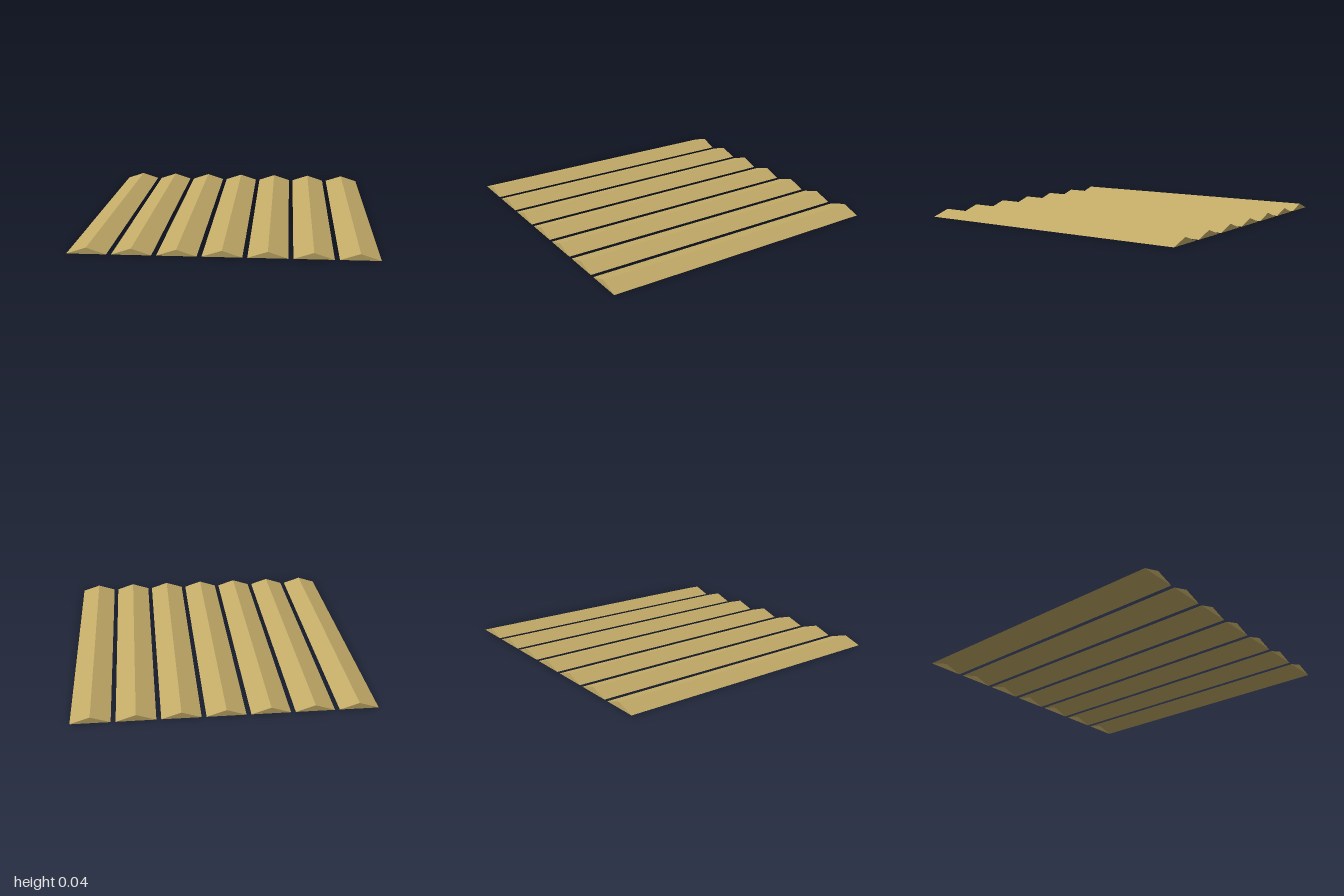
import * as THREE from 'three';

const COUNT = 7, PITCH = 2 / COUNT, HALF_WIDTH = 0.1275, HEIGHT = 0.042, HALF_LENGTH = 1;

// Ridged slat: two slopes and two triangular ends, open underneath
function slatGeometry() {
  const section = z => [
    new THREE.Vector3(-HALF_WIDTH, 0, z),
    new THREE.Vector3(0, HEIGHT, z),
    new THREE.Vector3(HALF_WIDTH, 0, z),
  ];
  const [fl, ft, fr] = section(HALF_LENGTH);
  const [bl, bt, br] = section(-HALF_LENGTH);
  const corners = [
    fl, ft, bl, ft, bt, bl, // left slope
    ft, fr, bt, fr, br, bt, // right slope
    fl, fr, ft,             // front end
    br, bl, bt,             // back end
  ];
  const geometry = new THREE.BufferGeometry().setFromPoints(corners);
  geometry.computeVertexNormals();
  return geometry;
}

export function createModel() {
  const group = new THREE.Group();
  group.name = 'ridgedSlats';
  const tan = new THREE.MeshStandardMaterial({ color: 0xc4ac68, side: THREE.DoubleSide });
  tan.name = 'tan';
  const geometry = slatGeometry();

  // Evenly spaced row of slats
  for (let i = 0; i < COUNT; i++) {
    const slat = new THREE.Mesh(geometry, tan);
    slat.name = `slat${i + 1}`;
    slat.position.x = (i - (COUNT - 1) / 2) * PITCH;
    group.add(slat);
  }
  return group;
}
